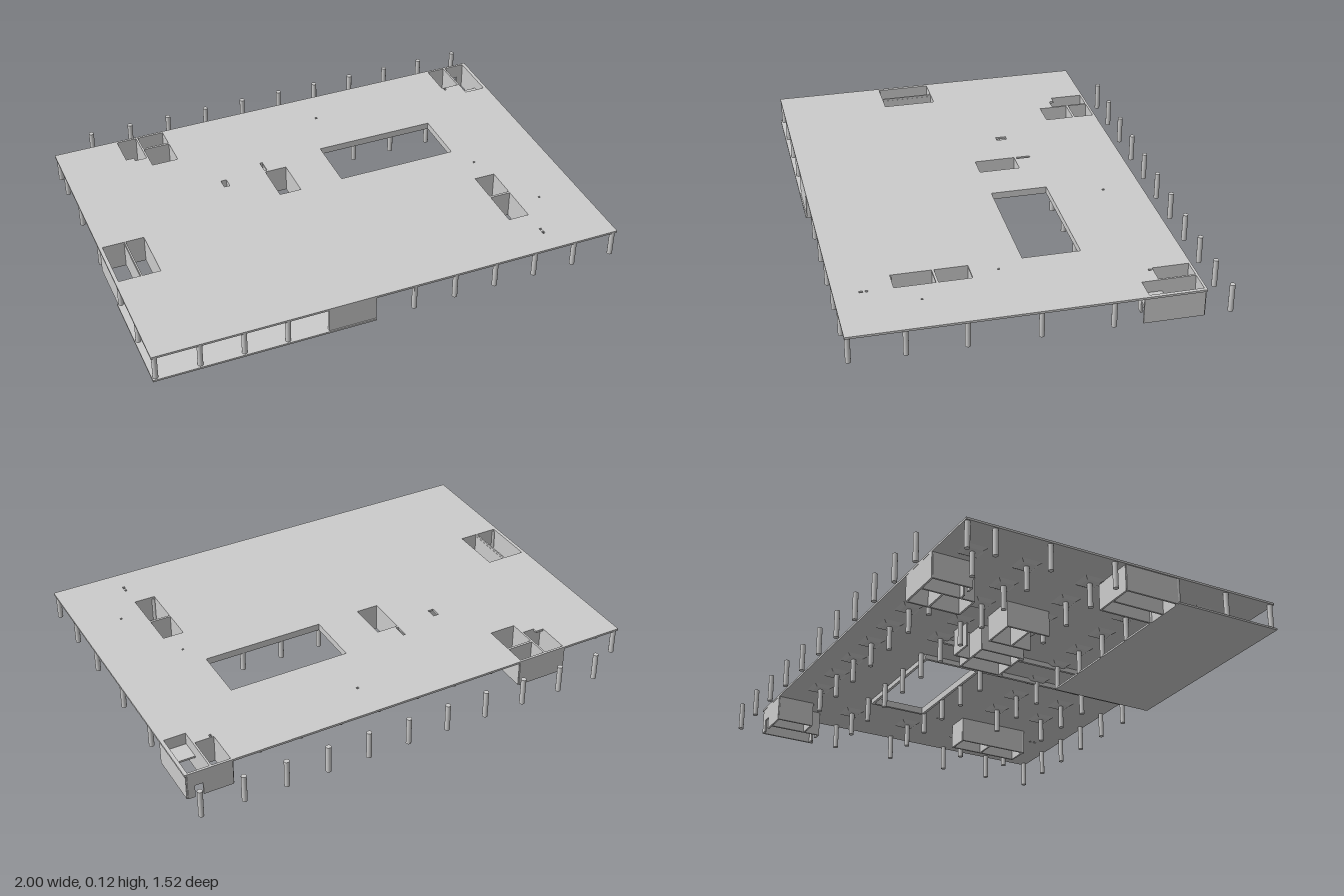
import * as THREE from 'three';

const H = 0.12;      // storey height
const CEIL = 0.111;  // underside of the roof slab
const T = 0.008;     // wall thickness

// Openings in the roof slab as [x0, x1, z0, z1]
const OPENINGS = [
  [0.095, 0.62, -0.255, -0.015],
  [-0.625, -0.51, -0.64, -0.555], [-0.625, -0.51, -0.545, -0.42],
  [0.805, 0.885, -0.64, -0.49], [0.893, 0.985, -0.64, -0.42],
  [-0.39, -0.365, -0.195, -0.15],
  [-0.19, -0.178, -0.255, -0.195], [-0.19, -0.095, -0.185, -0.01],
  [-0.985, -0.893, 0.05, 0.28], [-0.887, -0.81, 0.05, 0.28],
  [0.625, 0.715, 0.205, 0.34], [0.625, 0.715, 0.35, 0.515],
  [0.165, 0.175, -0.49, -0.48], [0.81, 0.82, -0.485, -0.472],
  [0.672, 0.68, 0.09, 0.098], [0.812, 0.82, 0.42, 0.428],
  [0.71, 0.72, 0.615, 0.625], [0.71, 0.72, 0.635, 0.65],
];

export function createModel() {
  const model = new THREE.Group();
  const mat = new THREE.MeshStandardMaterial({ color: 0xcccccc, side: THREE.DoubleSide });

  const add = (name, geo, x = 0, y = 0, z = 0) => {
    const m = new THREE.Mesh(geo, mat);
    m.name = name;
    m.position.set(x, y, z);
    model.add(m);
    return m;
  };
  const block = (name, x0, x1, y0, y1, z0, z1) =>
    add(name, new THREE.BoxGeometry(x1 - x0, y1 - y0, z1 - z0),
      (x0 + x1) / 2, (y0 + y1) / 2, (z0 + z1) / 2);

  // Walls along x or z, with an optional low doorway [from, to]
  const wallX = (name, x0, x1, z, door) => {
    if (!door) return block(name, x0, x1, 0, CEIL, z - T / 2, z + T / 2);
    wallX(name, x0, door[0], z);
    wallX(name, door[1], x1, z);
    block(name + 'Lintel', door[0], door[1], 0.055, CEIL, z - T / 2, z + T / 2);
  };
  const wallZ = (name, x, z0, z1) => block(name, x - T / 2, x + T / 2, 0, CEIL, z0, z1);

  // Roof slab with its openings
  const loop = (pts) => pts.map(([x, z]) => new THREE.Vector2(x, -z));
  const slab = new THREE.Shape(loop([[-1, 0.75], [1, 0.75], [1, -0.65], [-1, -0.65]]));
  for (const [x0, x1, z0, z1] of OPENINGS) {
    slab.holes.push(new THREE.Path(loop([[x0, z0], [x1, z0], [x1, z1], [x0, z1]])));
  }
  // Stepped stair opening
  slab.holes.push(new THREE.Path(loop([
    [-0.72, -0.64], [-0.633, -0.64], [-0.633, -0.48],
    [-0.685, -0.48], [-0.685, -0.5], [-0.72, -0.5]])));
  const slabGeo = new THREE.ExtrudeGeometry(slab, { depth: H - CEIL, bevelEnabled: false });
  slabGeo.rotateX(-Math.PI / 2);
  add('roofSlab', slabGeo, 0, CEIL, 0);

  // Floor slab and wall of the enclosed front room
  block('floorSlab', -1, -0.08, 0, 0.008, 0.28, 0.755);
  block('frontWall', -0.28, -0.08, 0, CEIL, 0.737, 0.75);

  // Beams around the atrium and across the building
  const B = 0.09, w = 0.012;
  block('atriumBeam', 0.095 - w, 0.62 + w, B, CEIL, -0.255 - w, -0.255);
  block('atriumBeam', 0.095 - w, 0.62 + w, B, CEIL, -0.015, -0.015 + w);
  block('atriumBeam', 0.62, 0.62 + w, B, CEIL, -0.255, -0.015);
  block('crossBeam', 0.083, 0.095, B, CEIL, -0.267, 0.75);
  block('crossBeam', -0.092, -0.08, B, CEIL, -0.267, 0.75);

  // Column grid with tapered drop panels
  const R = 0.011;
  const columnGeo = new THREE.CylinderGeometry(R, R, CEIL, 16);
  const panelGeo = new THREE.CylinderGeometry(0.045 * Math.SQRT2, 0.03 * Math.SQRT2, 0.009, 4, 1)
    .toNonIndexed();
  panelGeo.rotateY(Math.PI / 4);
  panelGeo.computeVertexNormals();
  const touchesOpening = (x, z, r) => OPENINGS.some(([x0, x1, z0, z1]) =>
    x + r > x0 && x - r < x1 && z + r > z0 && z - r < z1);
  for (let i = 0; i < 12; i++) {
    const x = -0.985 + (i * 1.97) / 11;
    for (const z of [-0.52, -0.285, 0, 0.285, 0.52, 0.738]) {
      if (touchesOpening(x, z, 0.002)) continue;
      add('column', columnGeo, x, CEIL / 2, z);
      const inside = Math.abs(x) < 0.95 && z < 0.7;
      if (inside && !touchesOpening(x, z, 0.045)) add('dropPanel', panelGeo, x, CEIL - 0.0045, z);
    }
    // Free-standing rear row
    if (i > 0) add('rearColumn', new THREE.CylinderGeometry(R, R, H, 16), x, H / 2, -0.755);
  }
  add('cornerColumn', columnGeo, -0.985, CEIL / 2, -0.637);

  // Rear stair shaft on the right side
  wallX('rearRightShaftWall', -0.725, -0.505, -0.645);
  wallX('rearRightShaftWall', -0.725, -0.629, -0.476, [-0.69, -0.66]);
  wallX('rearRightShaftWall', -0.629, -0.505, -0.416);
  wallX('rearRightShaftWall', -0.629, -0.505, -0.55);
  wallZ('rearRightShaftWall', -0.724, -0.645, -0.476);
  wallZ('rearRightShaftWall', -0.629, -0.645, -0.416);
  wallZ('rearRightShaftWall', -0.506, -0.645, -0.416);

  // Rear stair shaft on the left side
  const door = [0.925, 0.96];
  wallX('rearLeftShaftWall', 0.8, 0.99, -0.645, door);
  wallX('rearLeftShaftWall', 0.889, 0.99, -0.415, door);
  wallX('rearLeftShaftWall', 0.8, 0.889, -0.486);
  wallZ('rearLeftShaftWall', 0.801, -0.645, -0.486);
  wallZ('rearLeftShaftWall', 0.889, -0.645, -0.415);
  wallZ('rearLeftShaftWall', 0.991, -0.645, -0.4);
  block('stairLanding', 0.893, 0.987, 0.06, 0.068, -0.505, -0.42);

  // Side stair shaft
  for (const x of [-0.991, -0.89, -0.805]) wallZ('sideShaftWall', x, 0.045, 0.286);
  for (const z of [0.046, 0.284]) wallX('sideShaftWall', -0.991, -0.805, z);

  // Front left shaft, two cells
  for (const x of [0.621, 0.72]) wallZ('frontLeftShaftWall', x, 0.197, 0.522);
  for (const z of [0.2, 0.345, 0.52]) wallX('frontLeftShaftWall', 0.621, 0.72, z);

  // Central cores
  for (const x of [-0.277, -0.195, -0.09]) wallZ('coreWall', x, -0.19, -0.004);
  for (const z of [-0.19, -0.006]) wallX('coreWall', -0.28, -0.088, z);
  wallX('coreWall', -0.28, -0.17, -0.26);
  wallZ('coreWall', -0.172, -0.26, -0.19);
  for (const x of [-0.51, -0.36]) wallZ('coreWall', x, -0.2, -0.01);
  for (const z of [-0.2, -0.1]) wallX('coreWall', -0.514, -0.356, z);

  return model;
}
